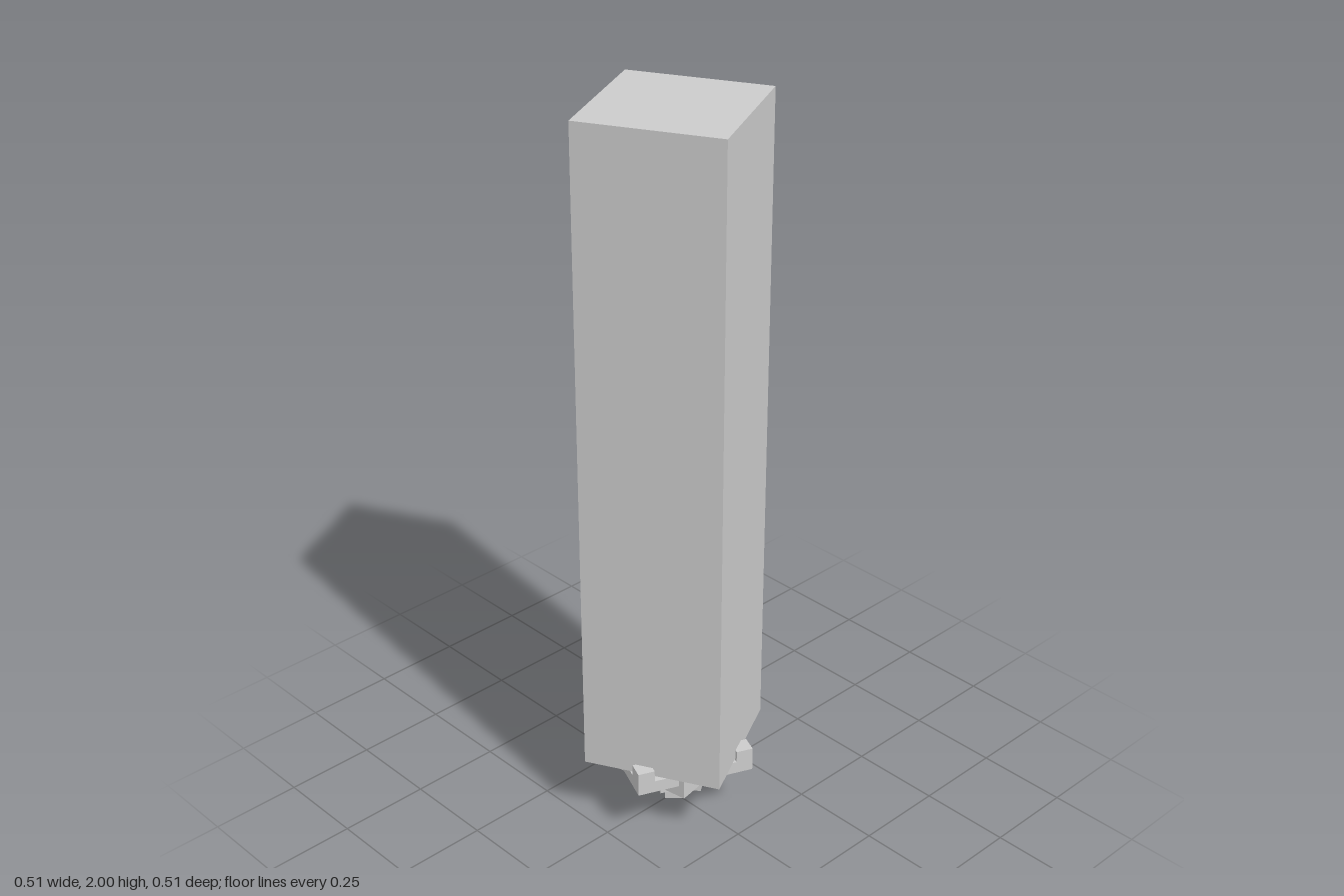
import * as THREE from 'three';

const material = new THREE.MeshStandardMaterial({ color: 0xcccccc, flatShading: true });

function block(name, side, bottom, top, x = 0, z = 0) {
  const mesh = new THREE.Mesh(new THREE.BoxGeometry(side, top - bottom, side), material);
  mesh.name = name;
  mesh.position.set(x, (bottom + top) / 2, z);
  return mesh;
}

// A square slab with a raised post on each corner
function tier(name, side, bottom, top, degrees, post) {
  const group = new THREE.Group();
  group.name = name;
  group.add(block('slab', side, bottom, top));
  if (post) {
    const offset = (side - post) / 2;
    for (const sx of [-1, 1]) {
      for (const sz of [-1, 1]) {
        group.add(block('cornerPost', post, bottom, top + 0.033, sx * offset, sz * offset));
      }
    }
  }
  group.rotation.y = THREE.MathUtils.degToRad(degrees);
  return group;
}

export function createModel() {
  const model = new THREE.Group();
  model.name = 'twistedPillar';

  // Twisting tiers that widen upwards from the tip
  model.add(tier('tip', 0.05, 0, 0.052, 45, 0));
  model.add(tier('lowerTier', 0.112, 0.052, 0.086, -26.6, 0.016));
  model.add(tier('middleTier', 0.179, 0.086, 0.12, 35.9, 0.025));
  model.add(tier('upperTier', 0.257, 0.12, 0.154, 9.6, 0.036));
  model.add(tier('crownTier', 0.327, 0.154, 0.189, -22.9, 0.046));

  // Tall square shaft
  const shaft = block('shaft', 0.378, 0.197, 2);
  shaft.rotation.y = THREE.MathUtils.degToRad(27.6);
  model.add(shaft);

  return model;
}
